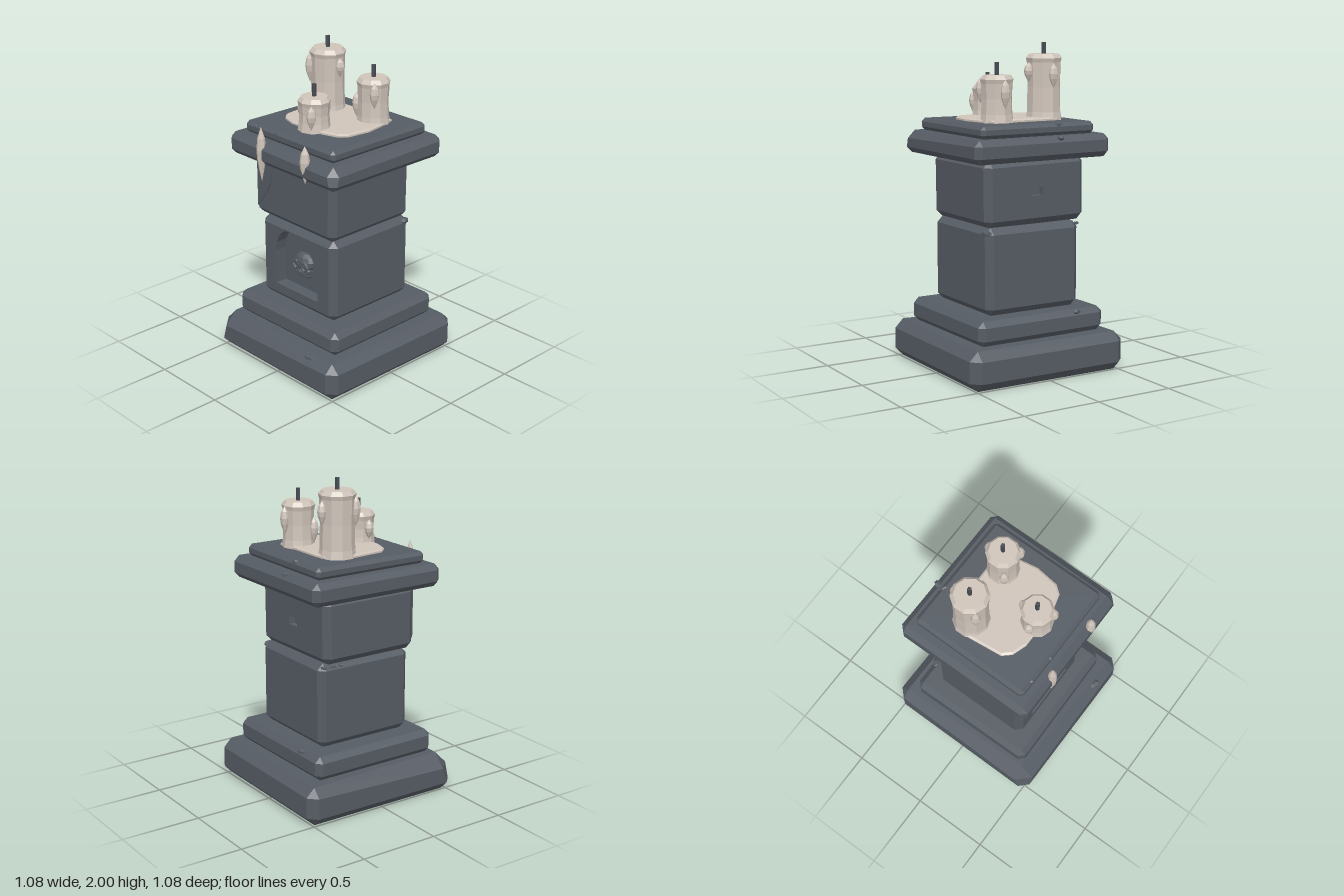
import * as THREE from 'three';
import { ConvexGeometry } from 'three/addons/geometries/ConvexGeometry.js';

const stone = new THREE.MeshStandardMaterial({ color: 0x565c64 });
const wax = new THREE.MeshStandardMaterial({ color: 0xcfc4ba });
const wick = new THREE.MeshStandardMaterial({ color: 0x484c54 });
stone.name = 'stone'; wax.name = 'wax'; wick.name = 'wick';

// Facet a geometry so every face is flat
function flat(geo) {
  const g = geo.index ? geo.toNonIndexed() : geo;
  g.computeVertexNormals();
  return g;
}

function add(parent, name, geo, mat, x = 0, y = 0, z = 0) {
  const m = new THREE.Mesh(flat(geo), mat);
  m.name = name;
  m.position.set(x, y, z);
  parent.add(m);
  return m;
}

// Chamfered stone block; a chosen corner may be broken off further
function block(w, h, d, c, broken = {}) {
  const pts = [];
  for (const sx of [-1, 1]) for (const sy of [-1, 1]) for (const sz of [-1, 1]) {
    const k = broken[`${sx},${sy},${sz}`] ?? c;
    const x = sx * w / 2, y = sy * h / 2, z = sz * d / 2;
    pts.push(new THREE.Vector3(x, y - sy * k, z - sz * k),
      new THREE.Vector3(x - sx * k, y, z - sz * k),
      new THREE.Vector3(x - sx * k, y - sy * k, z));
  }
  return new ConvexGeometry(pts);
}

// Block whose +z face has a recess of the given outline
function recessedBlock(parent, name, w, h, d, c, outline, depth) {
  const g = new THREE.Group();
  g.name = name;
  parent.add(g);
  const src = block(w, h, d, c), p = src.attributes.position, n = src.attributes.normal, keep = [];
  for (let i = 0; i < p.count; i += 3) {
    if (n.getZ(i) > 0.99) continue;
    for (let j = i; j < i + 3; j++) keep.push(p.getX(j), p.getY(j), p.getZ(j));
  }
  const shell = new THREE.BufferGeometry();
  shell.setAttribute('position', new THREE.Float32BufferAttribute(keep, 3));
  add(g, name + 'Body', shell, stone);
  const a = w / 2 - c, b = h / 2 - c;
  const face = new THREE.Shape([[-a, -b], [a, -b], [a, b], [-a, b]].map(q => new THREE.Vector2(...q)));
  face.holes.push(new THREE.Path(outline));
  add(g, name + 'Face', new THREE.ExtrudeGeometry(face, { depth, bevelEnabled: false }), stone, 0, 0, d / 2 - depth);
  add(g, name + 'RecessBack', new THREE.ShapeGeometry(new THREE.Shape(outline)), stone, 0, 0, d / 2 - depth);
  return g;
}

// Pointed wax run
function spindle(r, h, sides = 8) {
  return new THREE.LatheGeometry([[0, -0.5], [0.45, -0.32], [0.85, -0.12], [1, 0.08], [0.75, 0.3], [0, 0.5]]
    .map(([x, y]) => new THREE.Vector2(x * r, y * h)), sides);
}

function candle(parent, name, x, z, top, r, wickTop, drips) {
  const g = new THREE.Group();
  g.name = name;
  g.position.set(x, 1.53, z);
  parent.add(g);
  const h = top - 1.53;
  const profile = [[0, 0], [r, 0], [r * 0.93, 0.05], [r * 0.9, h * 0.5], [r * 0.94, h - 0.05], [r, h - 0.025], [r * 0.82, h], [0, h]];
  add(g, 'candleBody', new THREE.LatheGeometry(profile.map(q => new THREE.Vector2(...q)), 10), wax);
  const wh = wickTop - top + 0.02;
  add(g, 'wick', new THREE.CylinderGeometry(0.014, 0.014, wh, 5), wick, 0, wickTop - 1.53 - wh / 2, 0);
  for (const [dx, dz, y, len] of drips) {
    const k = (r * 0.95) / Math.hypot(dx, dz);
    add(g, 'waxBead', spindle(0.03, len, 7), wax, dx * k, y - 1.53, dz * k);
  }
}

export function createModel() {
  const root = new THREE.Group();
  root.name = 'candlePedestal';

  // Plinth steps
  const base = add(root, 'basePlinth', block(1.075, 0.24, 1.07, 0.055, { '-1,1,1': 0.085 }), stone, 0, 0.12, 0);
  base.rotation.y = -0.008;
  const step = add(root, 'upperStep', block(0.885, 0.15, 0.865, 0.035), stone, 0, 0.315, 0);
  step.rotation.y = 0.006;

  // Lower block with arched niche
  const arch = [new THREE.Vector2(-0.19, -0.165), new THREE.Vector2(0.19, -0.165)];
  for (let i = 0; i <= 10; i++) {
    const t = Math.PI * i / 10;
    arch.push(new THREE.Vector2(Math.cos(t) * 0.19, 0.06 + Math.sin(t) * 0.188));
  }
  const lower = recessedBlock(root, 'lowerBlock', 0.655, 0.53, 0.66, 0.016 + 0.024, arch.map(v => v.clone().setY(Math.min(v.y, 0.222))), 0.08);
  lower.position.set(0, 0.655, 0);

  // Upper block with a small socket in its back
  const socket = [[-0.042, -0.025], [0.042, -0.025], [0.042, 0.025], [-0.042, 0.025]].map(q => new THREE.Vector2(...q));
  const upper = recessedBlock(root, 'upperBlock', 0.7, 0.4, 0.66, 0.04, socket, 0.04);
  upper.position.set(-0.02, 1.12, 0.008);
  upper.rotation.set(0, Math.PI, 0.012);

  // Split flake on the upper block's front
  const flake = new THREE.Shape([[-0.335, 0.98], [-0.27, 1.06], [-0.21, 1.16], [-0.19, 1.28], [-0.335, 1.28]]
    .map(q => new THREE.Vector2(...q)));
  add(root, 'crackedFlake', new THREE.ExtrudeGeometry(flake, { depth: 0.008, bevelEnabled: false }), stone, 0, 0, 0.336);

  // Cap slabs
  const cap = add(root, 'capSlab', block(0.935, 0.14, 0.915, 0.035, { '1,1,1': 0.05 }), stone, 0, 1.386, 0.002);
  cap.rotation.set(0, -0.006, -0.004);
  const top = add(root, 'topSlab', block(0.785, 0.075, 0.775, 0.022), stone, 0, 1.4925, 0);
  top.rotation.y = -0.008;

  // Skull relief in the niche
  const skull = new THREE.Group();
  skull.name = 'skullRelief';
  skull.position.set(0, 0.66, 0.25);
  root.add(skull);
  add(skull, 'cranium', new THREE.SphereGeometry(1, 10, 7), stone, 0, 0.015, 0.01).scale.set(0.08, 0.065, 0.045);
  add(skull, 'jaw', block(0.12, 0.05, 0.05, 0.01), stone, 0, -0.05, 0.015);
  for (const s of [-1, 1]) {
    add(skull, 'eyeRim', new THREE.TorusGeometry(0.025, 0.008, 4, 8), stone, s * 0.038, 0.002, 0.046);
    add(skull, 'cheek', block(0.035, 0.03, 0.04, 0.008), stone, s * 0.05, -0.03, 0.025);
  }
  add(skull, 'nose', new THREE.ConeGeometry(0.012, 0.025, 3), stone, 0, -0.025, 0.05);
  for (let i = -2; i <= 2; i++) add(skull, 'tooth', new THREE.BoxGeometry(0.016, 0.02, 0.01), stone, i * 0.021, -0.048, 0.041);

  // Chipped fragments along the edges
  const chips = [
    [0.3, 0.222, 0.5, 0.035], [-0.11, 1.445, -0.43, 0.033], [-0.13, 1.52, -0.37, 0.028],
    [-0.25, 0.375, -0.41, 0.035], [0.315, 0.89, -0.29, 0.035], [-0.315, 0.9, -0.3, 0.022],
    [-0.32, 0.9, -0.24, 0.02], [-0.32, 0.9, -0.18, 0.018], [-0.11, 1.515, 0.375, 0.018], [-0.29, 1.515, 0.375, 0.015],
  ];
  chips.forEach(([x, y, z, r], i) => {
    const m = add(root, 'stoneChip', new THREE.DodecahedronGeometry(r), stone, x, y, z);
    m.scale.set(1, 0.5, 0.75);
    m.rotation.y = i * 1.3;
  });

  // Wax pool
  const pool = [[-0.3, -0.1], [-0.275, -0.19], [-0.22, -0.23], [-0.14, -0.24], [0.24, -0.24], [0.27, -0.12], [0.29, 0], [0.27, 0.15],
    [0.23, 0.2], [0.12, 0.23], [-0.14, 0.23], [-0.23, 0.2], [-0.275, 0.15], [-0.29, 0]];
  const poolGeo = new THREE.ExtrudeGeometry(new THREE.Shape(pool.map(([x, z]) => new THREE.Vector2(x, -z))),
    { depth: 0.01, bevelThickness: 0.008, bevelSize: 0.012, bevelOffset: -0.012, bevelSegments: 1 });
  poolGeo.rotateX(-Math.PI / 2);
  add(root, 'waxPool', poolGeo, wax, 0, 1.532, 0);

  // Candles with wax beads: direction x, direction z, height, length
  candle(root, 'tallCandle', -0.195, -0.12, 1.93, 0.114, 2, [[-0.07, 0.09, 1.805, 0.19], [0.11, 0, 1.82, 0.12], [0, -0.11, 1.8, 0.15]]);
  candle(root, 'mediumCandle', 0.163, -0.157, 1.812, 0.103, 1.887, [[0.08, 0.07, 1.72, 0.16], [-0.08, 0.065, 1.635, 0.16], [0, -0.1, 1.7, 0.18]]);
  candle(root, 'shortCandle', 0.018, 0.19, 1.735, 0.1, 1.81, [[0.06, 0.08, 1.625, 0.15], [-0.1, 0.01, 1.63, 0.12], [0, -0.1, 1.64, 0.12]]);

  // Wax runs over the front of the cap
  add(root, 'longWaxRun', spindle(0.03, 0.345), wax, -0.175, 1.382, 0.442);
  add(root, 'shortWaxRun', spindle(0.031, 0.235), wax, 0.21, 1.418, 0.442);
  return root;
}
